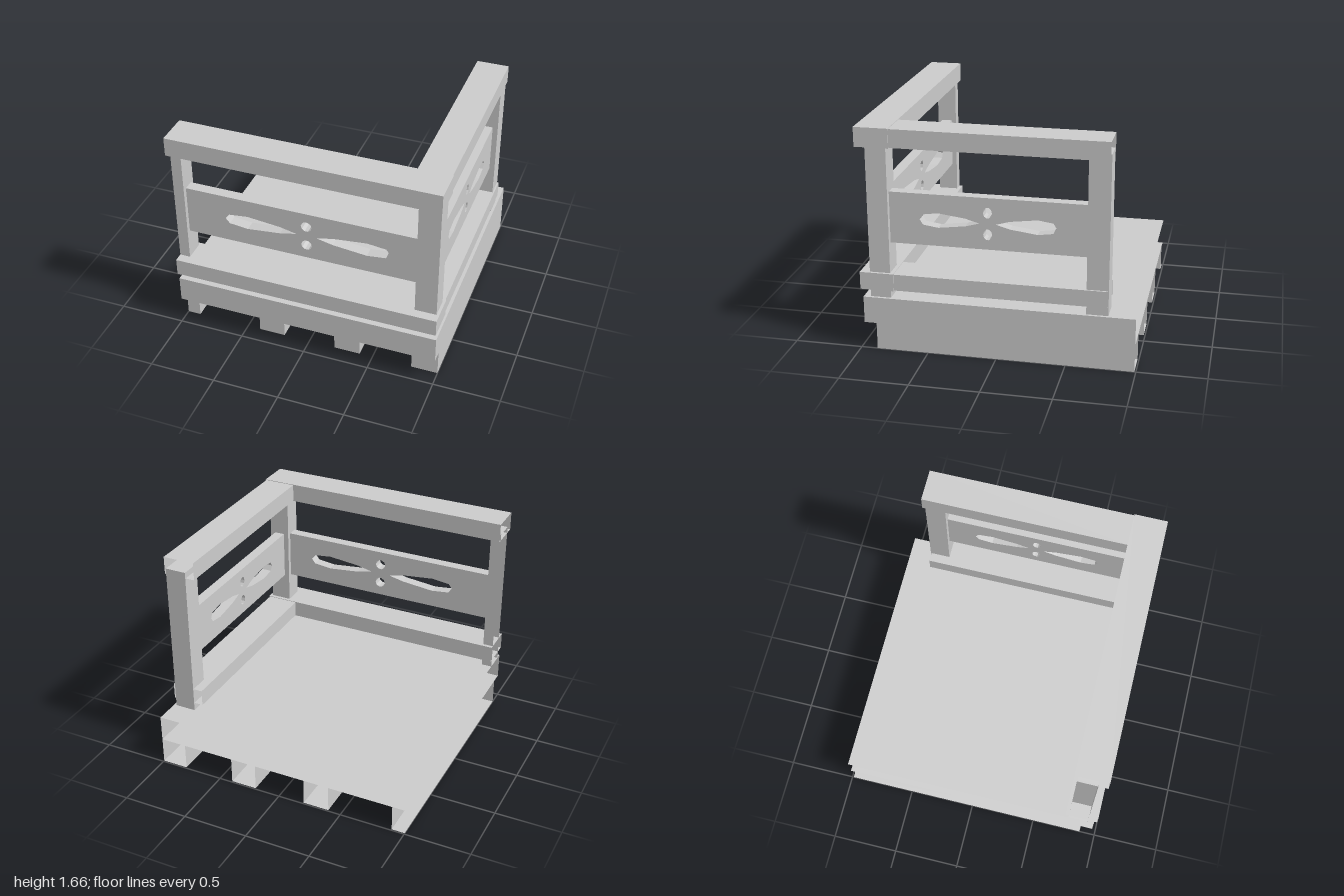
import * as THREE from 'three';

const material = new THREE.MeshStandardMaterial({ color: 0xcccccc, side: THREE.DoubleSide, flatShading: true });
const SIDES = ['+x', '-x', '+y', '-y', '+z', '-z'];

// Box given by its ranges on each axis, with the listed sides left open
function openBox(name, [x0, x1], [y0, y1], [z0, z1], open = []) {
  const geometry = new THREE.BoxGeometry(x1 - x0, y1 - y0, z1 - z0);
  const index = Array.from(geometry.index.array);
  geometry.setIndex(index.filter((_, i) => !open.includes(SIDES[Math.floor(i / 6)])));
  geometry.clearGroups();
  const mesh = new THREE.Mesh(geometry, material);
  mesh.name = name;
  mesh.position.set((x0 + x1) / 2, (y0 + y1) / 2, (z0 + z1) / 2);
  return mesh;
}

// Board from u0 to u1 with two round and two teardrop cut-outs around u = 0
function cutoutPanel(name, u0, u1, stretch) {
  const y0 = 0.81, y1 = 1.19, thickness = 0.08;
  const shape = new THREE.Shape([[u0, y0], [u1, y0], [u1, y1], [u0, y1]].map(p => new THREE.Vector2(...p)));
  const teardrop = [[0.075, 0], [0.2, -0.028], [0.45, -0.054], [0.59, -0.038],
    [0.62, 0], [0.59, 0.038], [0.45, 0.054], [0.2, 0.028]];
  for (const side of [-1, 1]) {
    shape.holes.push(new THREE.Path(teardrop.map(([u, v]) => new THREE.Vector2(side * u * stretch, 1 + v))));
    const circle = new THREE.Path();
    circle.absellipse(0, 1 + side * 0.08, 0.041 * stretch, 0.041, 0, Math.PI * 2);
    shape.holes.push(circle);
  }
  const geometry = new THREE.ExtrudeGeometry(shape, { depth: thickness, bevelEnabled: false, curveSegments: 5 });
  geometry.translate(0, 0, -thickness / 2);
  const mesh = new THREE.Mesh(geometry, material);
  mesh.name = name;
  return mesh;
}

export function createModel() {
  const model = new THREE.Group();
  model.name = 'balconyCorner';

  // Hollow deck, open toward the neighbouring sections
  model.add(openBox('deck', [-1, 1], [0.2, 0.4], [-0.99, 0.97], ['-x', '-z']));

  // Support beams; the leftmost in the row is cut in half
  for (const [x0, x1] of [[-1, -0.9], [-0.4, -0.2], [0.2, 0.4], [0.8, 1]]) {
    const open = ['+y', '-z'];
    if (x0 === -1) open.push('-x');
    model.add(openBox('beam', [x0, x1], [0, 0.2], [-0.99, 0.88], open));
  }

  // Posts
  const postY = [0.4, 1.57];
  model.add(openBox('halfPost', [-1, -0.92], postY, [0.77, 0.92], ['-x']));
  model.add(openBox('cornerPost', [0.82, 0.98], postY, [0.77, 0.92]));
  model.add(openBox('backPost', [0.82, 0.98], postY, [-0.795, -0.64]));

  // Top and bottom rails, hollow at their free ends
  for (const [name, y0, y1] of [['bottomRail', 0.46, 0.59], ['topRail', 1.52, 1.662]]) {
    model.add(openBox(name + 'Front', [-1, 1], [y0, y1], [0.743, 0.99], ['-x']));
    model.add(openBox(name + 'Side', [0.75, 0.993], [y0 + 0.004, y1 - 0.004], [-0.79, 0.743], ['-z', '+z']));
  }

  // Decorative panels between the posts
  const frontPanel = cutoutPanel('frontPanel', -0.92, 0.82, 1);
  frontPanel.position.z = 0.845;
  const sidePanel = cutoutPanel('sidePanel', -0.705, 0.705, 0.785);
  sidePanel.rotation.y = Math.PI / 2;
  sidePanel.position.set(0.9, 0, 0.065);
  model.add(frontPanel, sidePanel);

  return model;
}
